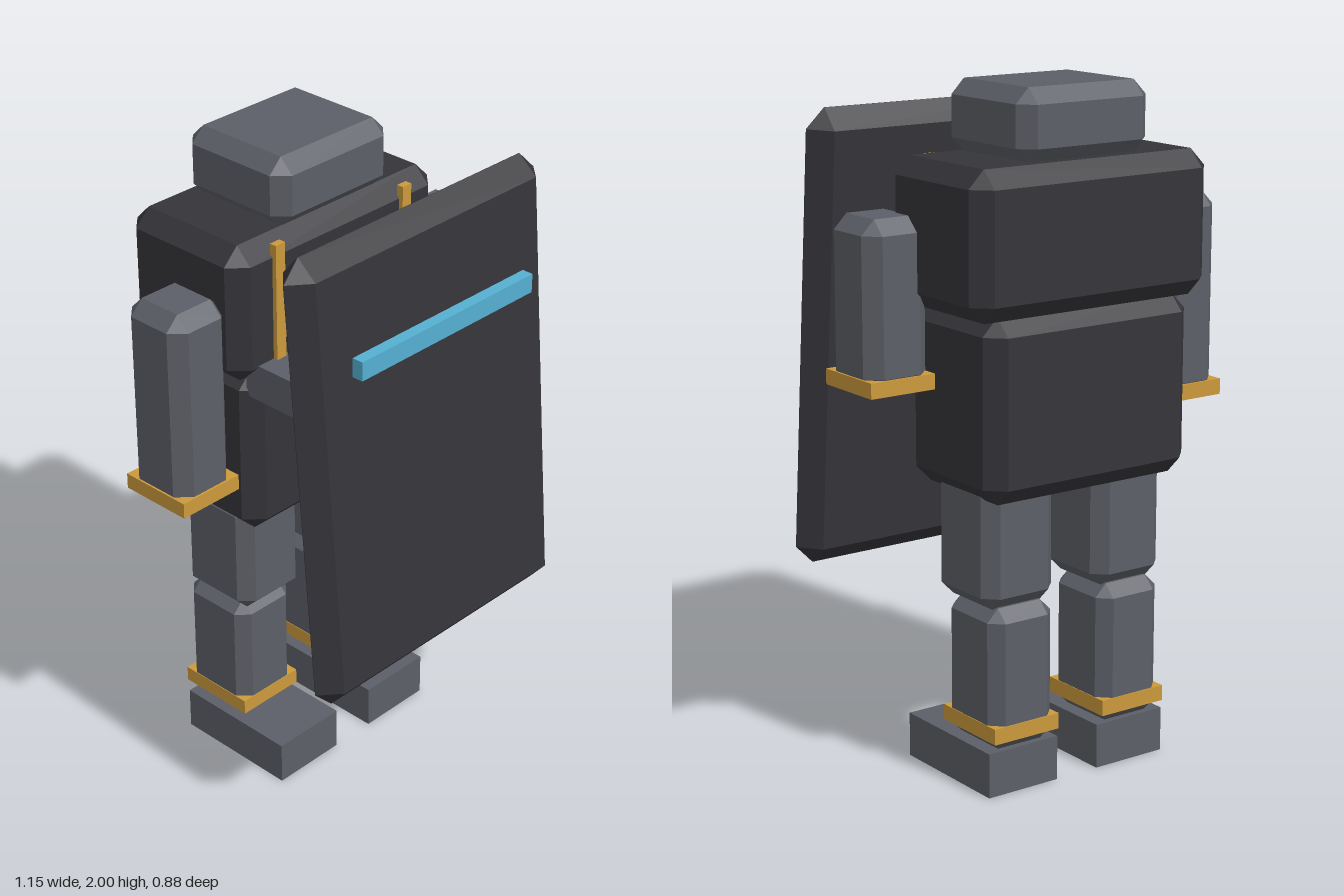
import * as THREE from 'three';
import { ConvexGeometry } from 'three/addons/geometries/ConvexGeometry.js';

// Box with every edge cut by the same chamfer, centred on the origin
function chamferBox(w, h, d, c) {
  const pts = [];
  for (const sx of [-1, 1]) for (const sy of [-1, 1]) for (const sz of [-1, 1]) {
    const x = w / 2, y = h / 2, z = d / 2;
    pts.push(
      new THREE.Vector3(sx * x, sy * (y - c), sz * (z - c)),
      new THREE.Vector3(sx * (x - c), sy * y, sz * (z - c)),
      new THREE.Vector3(sx * (x - c), sy * (y - c), sz * z)
    );
  }
  return new ConvexGeometry(pts);
}

export function createModel() {
  const model = new THREE.Group();
  model.name = 'shieldBearer';

  const material = (name, color) => {
    const m = new THREE.MeshStandardMaterial({ color });
    m.name = name;
    return m;
  };
  const grey = material('steelGrey', 0x5c5f67);
  const dark = material('charcoal', 0x353439);
  const gold = material('gold', 0xcc9a3c);
  const cyan = material('cyanGlass', 0x55b0d2);

  // Adds a block given its extents on each axis; chamfer 0 is a plain box
  function block(name, mat, [x0, x1], [y0, y1], [z0, z1], chamfer = 0) {
    const size = [x1 - x0, y1 - y0, z1 - z0];
    const geo = chamfer ? chamferBox(...size, chamfer) : new THREE.BoxGeometry(...size);
    const mesh = new THREE.Mesh(geo, mat);
    mesh.name = name;
    mesh.position.set((x0 + x1) / 2, (y0 + y1) / 2, (z0 + z1) / 2);
    model.add(mesh);
    return mesh;
  }

  // Head and torso
  block('head', grey, [-0.215, 0.23], [1.795, 2], [-0.388, -0.003], 0.043);
  block('upperTorso', dark, [-0.395, 0.415], [1.385, 1.8], [-0.438, 0.008], 0.05);
  block('lowerTorso', dark, [-0.342, 0.362], [0.87, 1.395], [-0.425, -0.002], 0.05);

  // Chest trim: two uprights and a crossbar
  block('chestTrimBar', gold, [-0.26, 0.28], [1.5, 1.535], [0, 0.022]);

  for (const [side, s] of [['left', 1], ['right', -1]]) {
    // Extents mirrored about the body's middle line
    const cx = 0.0075;
    const span = (a, b) => (s > 0 ? [cx + a, cx + b] : [cx - b, cx - a]);

    block(side + 'ChestTrim', gold, span(0.235, 0.27), [1.42, 1.79], [0, 0.022]);

    // Legs
    block(side + 'Thigh', grey, span(0.07, 0.315), [0.545, 0.92], [-0.348, -0.077], 0.04);
    block(side + 'Calf', grey, span(0.082, 0.302), [0.13, 0.55], [-0.358, -0.11], 0.037);
    block(side + 'AnkleBand', gold, span(0.08, 0.304), [0.163, 0.21], [-0.361, -0.108]);
    block(side + 'Boot', grey, span(0.072, 0.313), [0, 0.133], [-0.345, 0.058]);

    // Strut holding the shield
    block(side + 'ShieldStrut', grey, span(0.217, 0.33), [1.33, 1.44], [-0.04, 0.28]);
  }

  // Arms, the left one shorter and further forward
  block('leftArm', grey, [0.363, 0.568], [1.165, 1.645], [-0.145, 0.077], 0.042);
  block('leftCuff', gold, [0.36, 0.572], [1.16, 1.205], [-0.149, 0.082]);
  block('rightArm', grey, [-0.57, -0.365], [1.045, 1.645], [-0.268, -0.045], 0.042);
  block('rightCuff', gold, [-0.574, -0.362], [1.038, 1.085], [-0.273, -0.04]);

  // Tilted shield and its window
  const shield = block('shield', dark, [-0.488, 0.504], [0.537, 1.908], [0.268, 0.386], 0.058);
  shield.rotation.x = -0.084;
  block('shieldWindow', cyan, [-0.337, 0.353], [1.558, 1.615], [0.376, 0.411]);

  return model;
}
